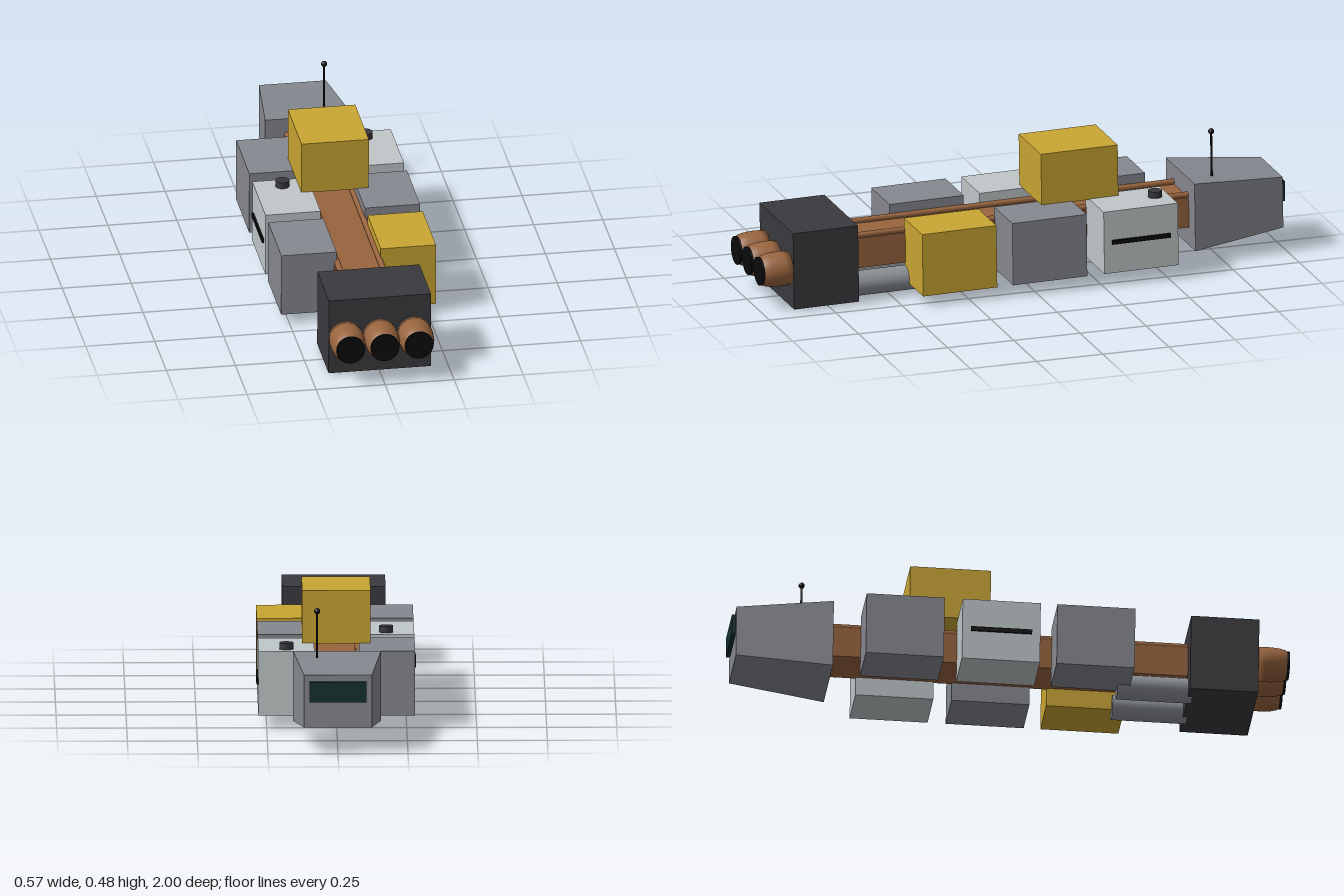
import * as THREE from 'three';

const mat = (color, extra = {}) => new THREE.MeshStandardMaterial({ color, ...extra });

export function createModel() {
  const model = new THREE.Group();
  model.name = 'cargoShip';
  // the whole ship sits with its cabin end slightly raised
  const ship = new THREE.Group();
  ship.name = 'hull';
  ship.rotation.x = 0.0145;
  model.add(ship);

  const yellow = mat(0xc9a532), grey = mat(0x85888f), pale = mat(0xc0c7c9);
  const dark = mat(0x3a393e), copper = mat(0x98643e), black = mat(0x0b0b0b);
  const steel = mat(0x8c9096), glass = mat(0x14302f);

  const add = (name, geometry, material, x, y, z, parent = ship) => {
    const mesh = new THREE.Mesh(geometry, material);
    mesh.name = name;
    mesh.position.set(x, y, z);
    parent.add(mesh);
    return mesh;
  };
  const box = (name, w, h, d, material, x, y, z, parent) =>
    add(name, new THREE.BoxGeometry(w, h, d), material, x, y, z, parent);
  const rod = (r, length, sides = 24) => new THREE.CylinderGeometry(r, r, length, sides);

  // central spine with a pipe along each top edge
  box('spine', 0.18, 0.112, 1.32, copper, 0, 0.168, 0);
  for (const side of [-1, 1]) {
    add('spinePipe', rod(0.011, 1.3, 12).rotateX(Math.PI / 2), copper, side * 0.077, 0.232, 0);
  }

  // engine block
  box('engineBlock', 0.37, 0.286, 0.245, dark, 0, 0.163, 0.762);

  // three barrel-shaped nozzles with dark mouths
  const profile = [[0, 0], [0.0605, 0], [0.0625, 0.025], [0.0625, 0.05], [0.06, 0.08], [0.055, 0.1], [0.05, 0.107]]
    .map(([r, h]) => new THREE.Vector2(r, h));
  const nozzleShape = new THREE.LatheGeometry(profile, 40).rotateX(Math.PI / 2);
  for (const x of [-0.124, 0, 0.124]) {
    add('nozzle', nozzleShape, copper, x, 0.159, 0.883);
    add('nozzleMouth', rod(0.0515, 0.03, 40).rotateX(Math.PI / 2), black, x, 0.159, 0.983);
  }

  // fuel tanks slung under the spine
  for (const side of [-1, 1]) {
    add('fuelTank', rod(0.045, 0.27, 32).rotateX(Math.PI / 2), steel, side * 0.087, 0.055, 0.52);
  }

  // side containers: [side, z, material]; pale ones are crew modules
  const containers = [
    [-1, 0.29, grey], [1, 0.29, yellow],
    [-1, -0.05, pale], [1, -0.05, grey],
    [-1, -0.395, grey], [1, -0.395, pale],
  ];
  for (const [side, z, material] of containers) {
    const group = new THREE.Group();
    group.name = material === pale ? 'crewModule' : 'container';
    group.position.set(side * 0.18, 0.16, z);
    ship.add(group);
    box('containerBody', 0.2, 0.233, 0.28, material, 0, 0, 0, group);
    if (material === pale) {
      box('windowStrip', 0.012, 0.016, 0.22, black, side * 0.101, 0, 0, group);
      add('roofHatch', rod(0.025, 0.026), dark, 0, 0.127, -0.088, group);
    }
  }

  // container carried on top
  box('topContainer', 0.244, 0.193, 0.29, yellow, 0, 0.3705, -0.22);

  // cabin: a box tapering towards its far end
  const cabin = new THREE.BoxGeometry(0.315, 0.253, 0.345);
  const p = cabin.attributes.position;
  for (let i = 0; i < p.count; i++) {
    if (p.getZ(i) < 0) p.setXYZ(i, p.getX(i) * 0.77, p.getY(i) * 0.75 + 0.004, p.getZ(i));
  }
  cabin.computeVertexNormals();
  add('cabin', cabin, grey, 0, 0.17, -0.813);
  box('windscreen', 0.205, 0.075, 0.024, glass, 0, 0.209, -0.988);

  // antenna on the cabin roof
  add('antennaMast', rod(0.004, 0.18, 10), black, 0.072, 0.368, -0.735);
  add('antennaTip', new THREE.SphereGeometry(0.011, 16, 12), black, 0.072, 0.457, -0.735);

  return model;
}
